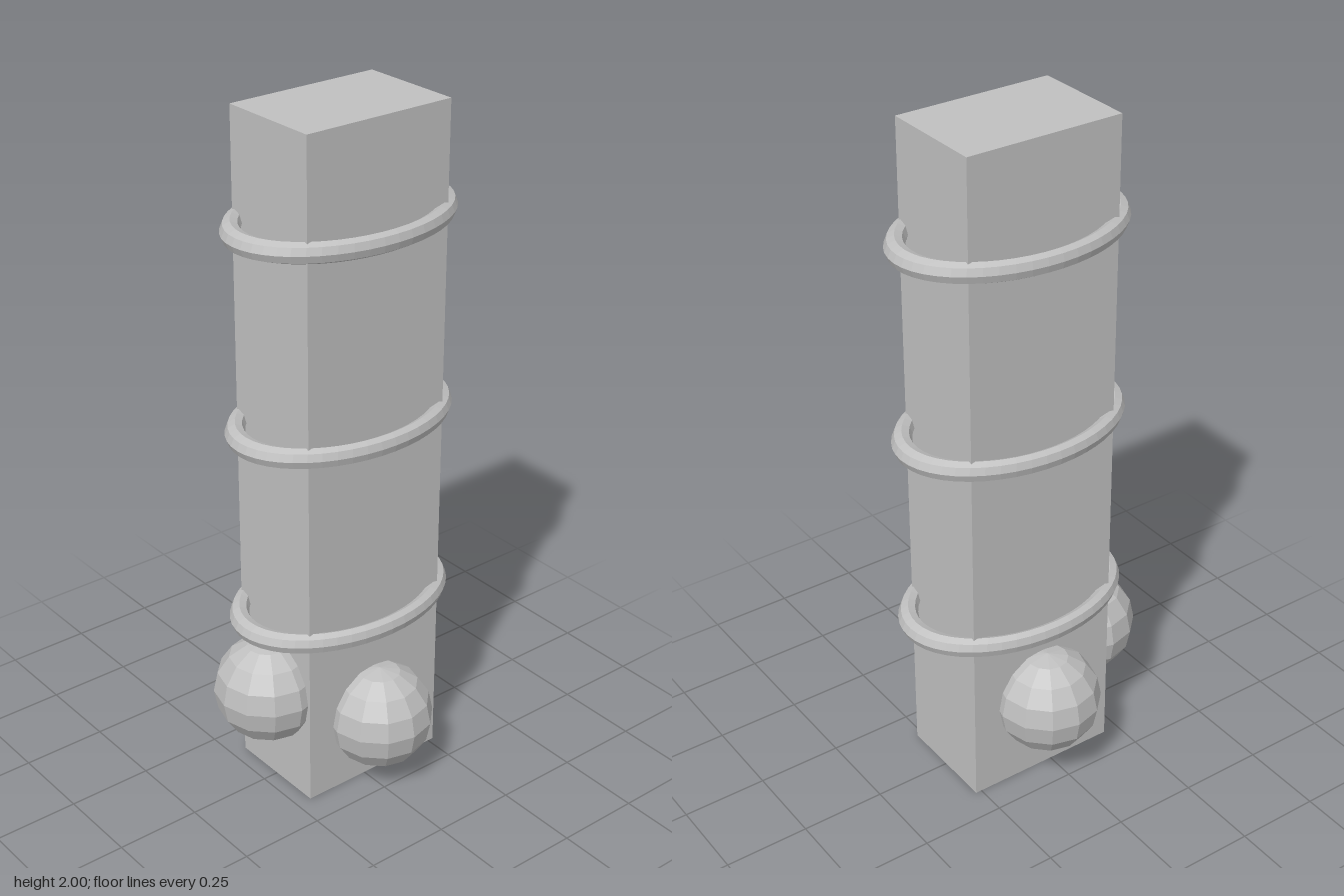
import * as THREE from 'three';

export function createModel() {
  const model = new THREE.Group();
  const grey = new THREE.MeshStandardMaterial({ color: 0xc0c0c0, flatShading: true });
  grey.name = 'grey';
  const axisX = 0.033; // the pillar stands slightly off centre

  const add = (name, geometry, x, y, z) => {
    const mesh = new THREE.Mesh(geometry, grey);
    mesh.name = name;
    mesh.position.set(x, y, z);
    model.add(mesh);
  };

  // Tall rectangular pillar
  add('pillar', new THREE.BoxGeometry(0.47, 2, 0.316), axisX, 1, 0);

  // Oval rings around the pillar
  const ring = new THREE.TorusGeometry(1, 0.097, 8, 48)
    .rotateX(Math.PI / 2)
    .scale(0.321, 0.31, 0.219);
  for (const y of [0.53, 1.11, 1.69]) add('ring', ring, axisX, y, 0);

  // Faceted balls half sunk into three sides of the base
  const ball = new THREE.SphereGeometry(0.157, 12, 8);
  add('frontBall', ball, axisX, 0.213, 0.183);
  add('backBall', ball, axisX, 0.267, -0.183);
  add('rightBall', ball, -0.229, 0.32, 0);

  return model;
}
